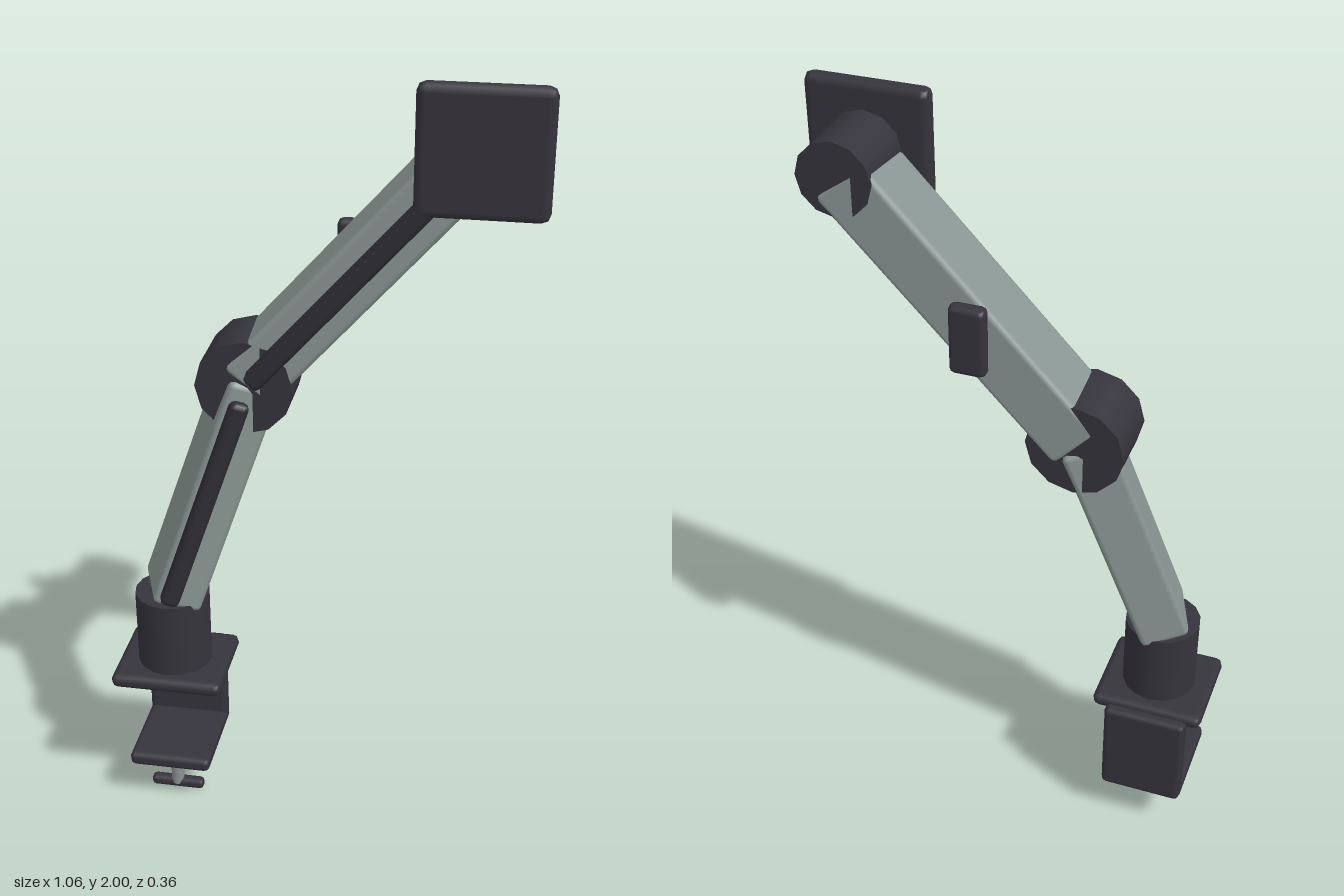
import * as THREE from 'three';
import { RoundedBoxGeometry } from 'three/addons/geometries/RoundedBoxGeometry.js';

const V = (x, y, z) => new THREE.Vector3(x, y, z);

export function createModel() {
  const group = new THREE.Group();
  const material = (name, color) => {
    const m = new THREE.MeshStandardMaterial({ color });
    m.name = name;
    return m;
  };
  const dark = material('charcoal', 0x36343c);
  const cover = material('cable cover black', 0x2e2d34);
  const grey = material('arm grey', 0x8a9693);
  const steel = material('screw steel', 0x8e9294);

  const add = (name, geometry, mat, pos) => {
    const mesh = new THREE.Mesh(geometry, mat);
    mesh.name = name;
    mesh.position.copy(pos);
    group.add(mesh);
    return mesh;
  };
  // Box with single-step chamfered edges, given by its bounds
  const block = (name, mat, [x0, x1], [y0, y1], [z0, z1], r) =>
    add(name, new RoundedBoxGeometry(x1 - x0, y1 - y0, z1 - z0, 1, r), mat,
      V((x0 + x1) / 2, (y0 + y1) / 2, (z0 + z1) / 2));
  // Chamfered bar between two points, its wide side kept horizontal
  const bar = (name, mat, a, b, thick, wide, r) => {
    const d = b.clone().sub(a);
    const mesh = add(name, new RoundedBoxGeometry(thick, d.length(), wide, 1, r), mat,
      a.clone().add(b).multiplyScalar(0.5));
    d.normalize();
    const h = V(-d.z, 0, d.x).normalize();
    const n = d.clone().cross(h);
    mesh.quaternion.setFromRotationMatrix(new THREE.Matrix4().makeBasis(n, d, h));
  };
  const pivot = (name, center, radius, depth) =>
    add(name, new THREE.CylinderGeometry(radius, radius, depth, 12).rotateX(Math.PI / 2), dark, center);

  // Desk clamp
  block('clampTop', dark, [-0.535, -0.24], [0.378, 0.418], [-0.08, 0.178], 0.018);
  block('clampBack', dark, [-0.5, -0.28], [0.12, 0.4], [-0.105, -0.06], 0.015);
  block('clampBottom', dark, [-0.5, -0.28], [0.118, 0.158], [-0.1, 0.165], 0.015);
  add('clampScrew', new THREE.CylinderGeometry(0.018, 0.018, 0.12, 12), steel, V(-0.39, 0.075, 0.08));
  block('screwHandle', dark, [-0.463, -0.316], [0, 0.03], [0.065, 0.095], 0.012);

  // Post
  add('post', new THREE.CylinderGeometry(0.098, 0.098, 0.21, 16), dark, V(-0.388, 0.52, 0.051));

  // Arm segments and pivots
  const base = V(-0.388, 0.62, 0.051);
  const elbow = V(-0.183, 1.227, -0.027);
  const tip = V(0.375, 1.848, -0.062);
  bar('lowerArm', grey, base, elbow, 0.13, 0.18, 0.015);
  bar('upperArm', grey, elbow, tip, 0.15, 0.18, 0.015);
  pivot('elbowPivot', elbow, 0.122, 0.175);
  pivot('headPivot', tip, 0.092, 0.175);

  // Cable covers along the front of each arm
  for (const [name, a, b, offset] of [
    ['lowerCableCover', base, elbow, V(0.005, 0, 0.095)],
    ['upperCableCover', elbow, tip, V(0, 0, 0.106)],
  ]) {
    const at = (t) => a.clone().lerp(b, t).add(offset);
    bar(name, cover, at(0.035), at(0.95), 0.05, 0.052, 0.015);
  }

  // Cable clip on the back of the upper arm
  block('cableClip', dark, [0.013, 0.105], [1.42, 1.6], [-0.18, -0.14], 0.016);

  // Mounting plate
  block('mountingPlate', dark, [0.22, 0.53], [1.69, 2], [0.036, 0.084], 0.022);

  return group;
}
